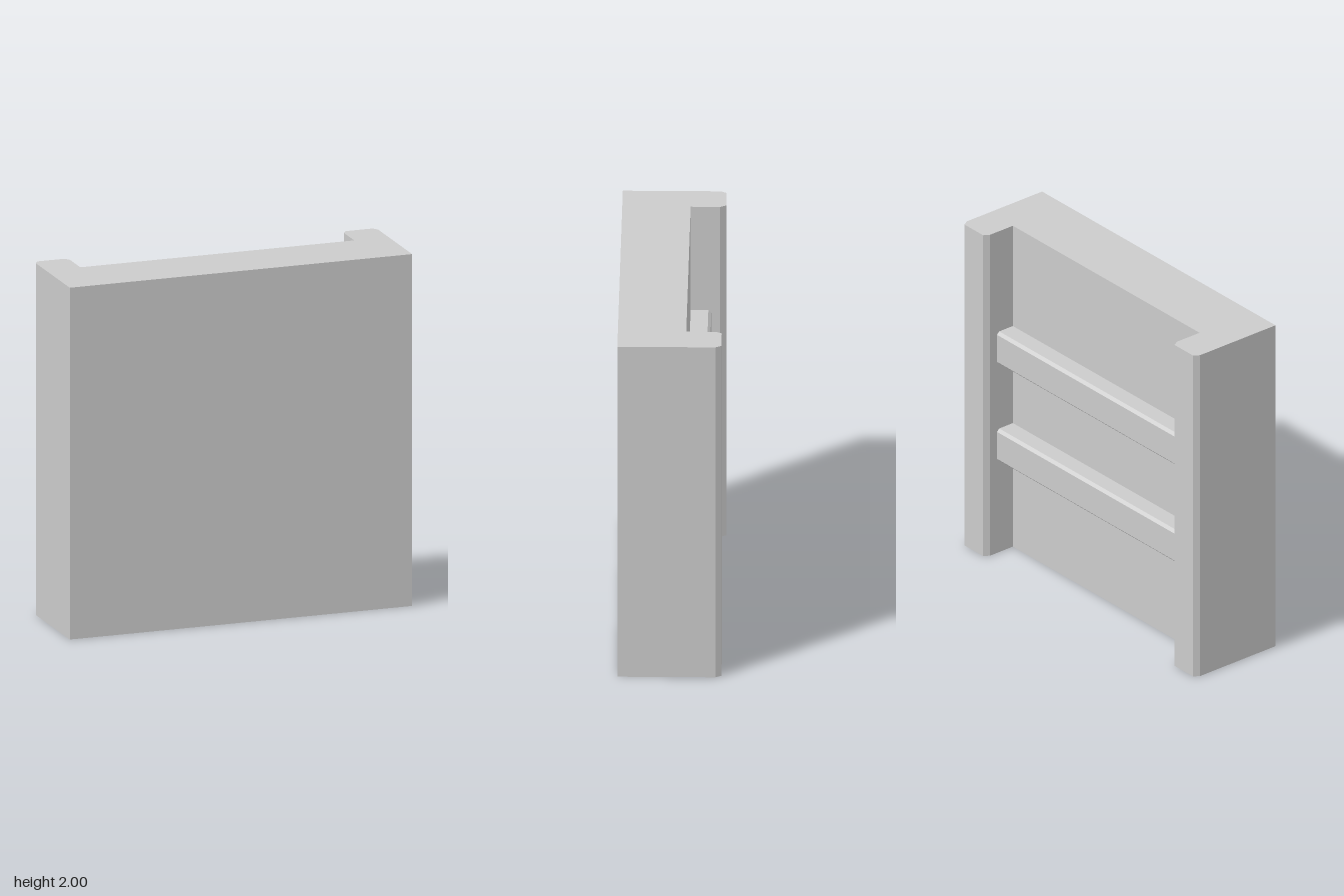
import * as THREE from 'three';

const material = new THREE.MeshStandardMaterial({ color: 0xcccccc, flatShading: true });

// Prism from an outline of [u, v] points, extruded along +z
function prism(points, depth) {
  const shape = new THREE.Shape(points.map(([u, v]) => new THREE.Vector2(u, v)));
  return new THREE.ExtrudeGeometry(shape, { depth, bevelEnabled: false });
}

function addPart(group, name, geometry, x, y, z) {
  const mesh = new THREE.Mesh(geometry, material);
  mesh.name = name;
  mesh.position.set(x, y, z);
  group.add(mesh);
}

export function createModel() {
  const group = new THREE.Group();
  group.name = 'panelBlock';
  const panelBack = -0.09;
  const back = -0.285;

  // Solid front panel
  const thickness = -back - panelBack;
  addPart(group, 'panel', new THREE.BoxGeometry(2, 2, thickness), 0, 1, panelBack + thickness / 2);

  // Upright posts at both sides, rear corners chamfered
  const d = panelBack - back;
  const post = prism([
    [-0.1, 0], [0.1, 0], [0.1, d - 0.033], [0.08, d], [-0.08, d], [-0.1, d - 0.033],
  ], 2).rotateX(-Math.PI / 2);
  addPart(group, 'leftPost', post, 0.9, 0, panelBack);
  addPart(group, 'rightPost', post, -0.9, 0, panelBack);

  // Horizontal rails between the posts, rear edges chamfered
  const r = 0.113, h = 0.1, c = 0.016;
  const rail = prism([
    [0, -h], [r - c, -h], [r, -h + c], [r, h - c], [r - c, h], [0, h],
  ], 1.6).rotateY(Math.PI / 2);
  addPart(group, 'upperRail', rail, -0.8, 1.275, panelBack);
  addPart(group, 'lowerRail', rail, -0.8, 0.67, panelBack);

  return group;
}
